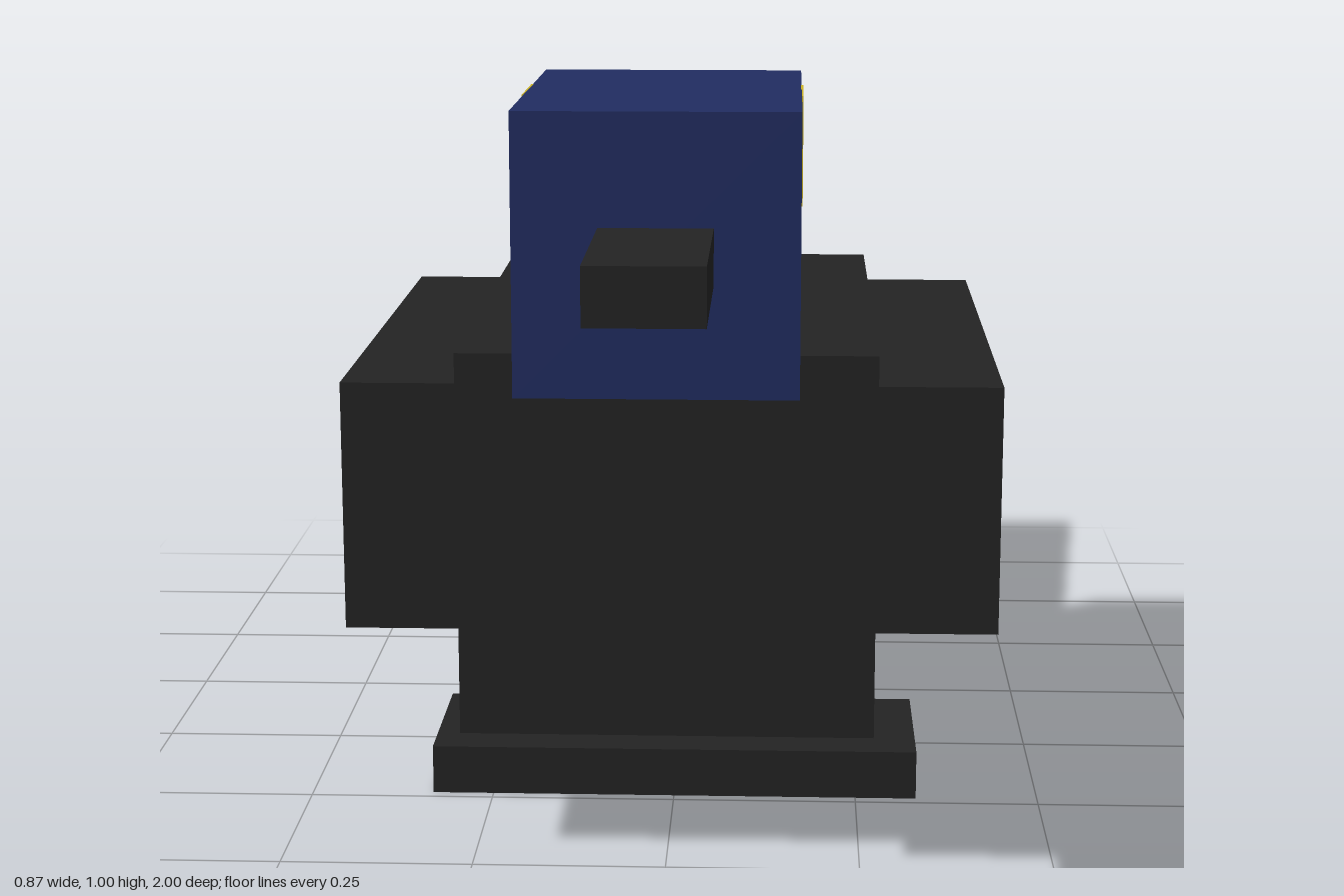
import * as THREE from 'three';

const U = 1 / 15; // block grid unit

export function createModel() {
  const group = new THREE.Group();
  group.name = 'bird';

  const mat = (name, color) => {
    const m = new THREE.MeshStandardMaterial({ color });
    m.name = name;
    return m;
  };
  const feathers = mat('black feathers', 0x232323);
  const plumage = mat('blue plumage', 0x212d61);
  const eyeYellow = mat('yellow eye', 0xcab122);

  // Box given by its minimum and maximum corners, in grid units
  const block = (name, material, [x0, y0, z0], [x1, y1, z1]) => {
    const mesh = new THREE.Mesh(
      new THREE.BoxGeometry((x1 - x0) * U, (y1 - y0) * U, (z1 - z0) * U), material);
    mesh.position.set((x0 + x1) / 2 * U, (y0 + y1) / 2 * U, (z0 + z1) / 2 * U);
    mesh.name = name;
    group.add(mesh);
    return mesh;
  };

  // Body, head and beak
  block('body', feathers, [-4, 2.5, -5], [4, 10, 7]);
  block('head', plumage, [-2.5, 10, 3.5], [2.5, 15, 11]);
  block('beak', feathers, [-1, 12, 11], [1, 13, 15]);

  // Paired parts
  for (const [side, s] of [['left', 1], ['right', -1]]) {
    const pair = (name, material, x0, x1, y0, y1, z0, z1) =>
      block(side + name, material,
        [Math.min(s * x0, s * x1), y0, z0], [Math.max(s * x0, s * x1), y1, z1]);
    pair('Wing', feathers, 4, 6.5, 4, 9, -7.5, 5);
    pair('Leg', feathers, 1, 4, 1, 2.5, 0, 2);
    pair('Foot', feathers, 0, 5, 0, 1, 0, 3.5);
    pair('Eye', eyeYellow, 2.49, 2.53, 13, 15, 6.37, 8.3);
  }

  // Tail, raised by ten degrees and rooted in the body
  const tail = new THREE.Mesh(new THREE.BoxGeometry(5 * U, 0.2, 0.7), feathers);
  tail.name = 'tail';
  tail.position.set(0, 0.577, -0.638);
  tail.rotation.x = THREE.MathUtils.degToRad(10);
  group.add(tail);

  return group;
}
